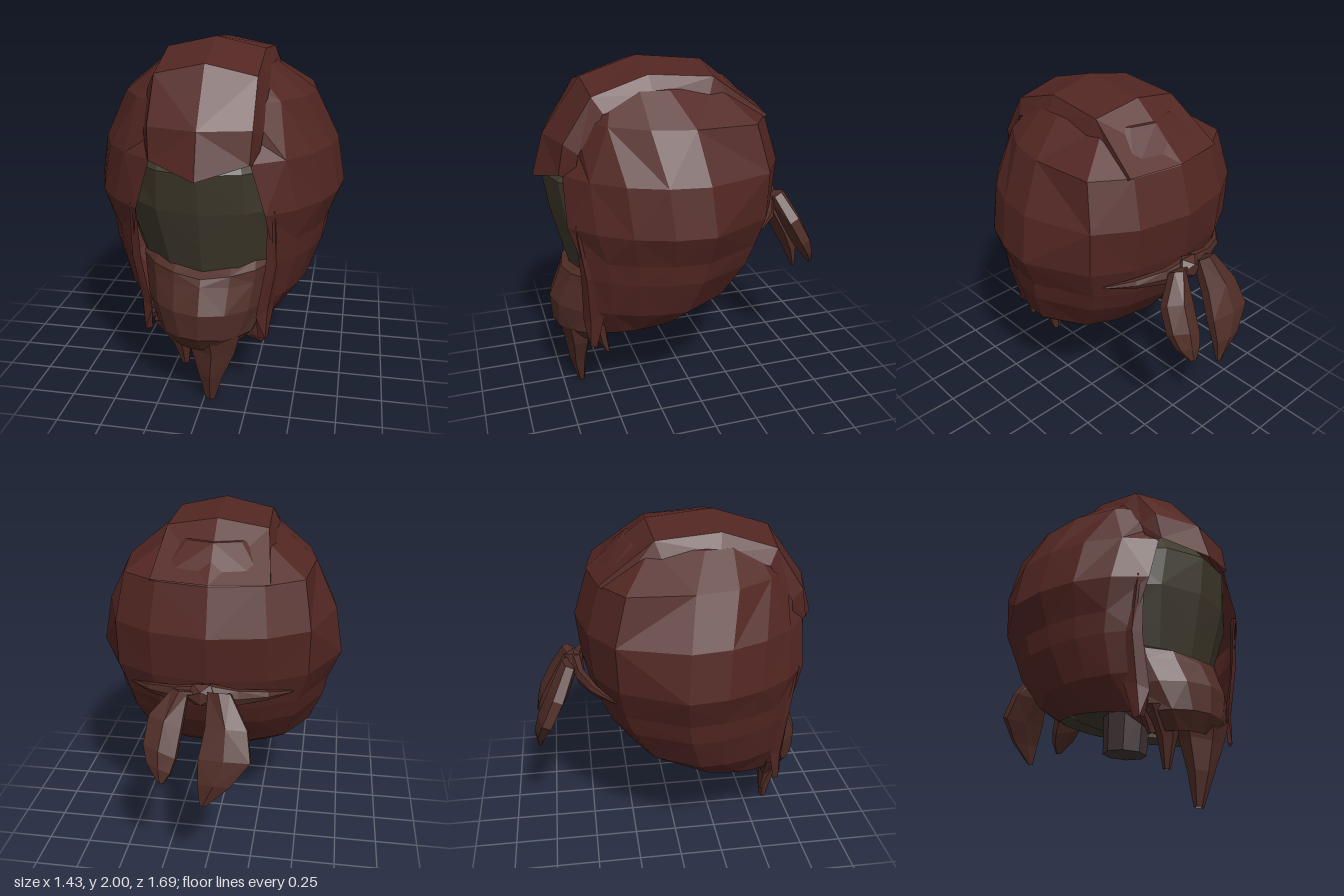
import * as THREE from 'three';

const V = (x, y, z) => new THREE.Vector3(x, y, z);
const cloth = (color) => new THREE.MeshStandardMaterial({ color, flatShading: true, side: THREE.DoubleSide });

// Skin a list of equally long point rows
function loft(rows) {
  const n = rows[0].length, index = [];
  for (let r = 0; r < rows.length - 1; r++) {
    for (let c = 0; c < n - 1; c++) {
      const a = r * n + c, b = a + n;
      // alternate the diagonals for a faceted surface
      if ((r + c) % 2) index.push(a, b, a + 1, a + 1, b, b + 1);
      else index.push(a, b, b + 1, a, b + 1, a + 1);
    }
  }
  const g = new THREE.BufferGeometry().setFromPoints(rows.flat());
  g.setIndex(index);
  g.computeVertexNormals();
  return g;
}

// Horizontal section: half width w at depth zw, front zf, back zb; xe is the half
// width of a gap at the front, yB the height at the back, full widens the back corners
function section([y, w, zw, zf, zb, xe = 0, yB = y, full = 1]) {
  const a0 = w > 0 ? Math.asin(xe / w) : 0, half = [];
  for (let i = 0; i < 4; i++) half.push(a0 + (Math.PI / 2 - a0) * i / 4);
  half.push(Math.PI / 2, Math.PI * 0.73, Math.PI * 0.855);
  const angles = [...half, Math.PI, ...half.slice().reverse().map((a) => Math.PI * 2 - a)];
  return angles.map((a) => V(
    w * Math.sin(a) * (Math.cos(a) < -0.1 ? full : 1),
    THREE.MathUtils.lerp(y, yB, (1 - Math.cos(a)) / 2),
    zw + Math.cos(a) * (Math.cos(a) > 0 ? zf - zw : zw - zb)));
}

// Flattened tapering cloth along points [x, y, z, half width, half thickness]
function ribbon(points, normal) {
  const P = points.map((p) => V(p[0], p[1], p[2]));
  const d = P[P.length - 1].clone().sub(P[0]).normalize();
  const W = normal.clone().cross(d).normalize(), N = d.clone().cross(W);
  return loft(points.map((p, i) => Array.from({ length: 7 }, (_, k) => {
    const a = k / 6 * Math.PI * 2;
    return P[i].clone().addScaledVector(W, p[3] * Math.sin(a)).addScaledVector(N, p[4] * Math.cos(a));
  })));
}

export function createModel() {
  const model = new THREE.Group();
  const red = cloth(0x522622), brown = cloth(0x4f2c26), skin = cloth(0x3f392c), dark = cloth(0x423435);
  const add = (name, geometry, material) => {
    const m = new THREE.Mesh(geometry, material);
    m.name = name;
    model.add(m);
    return m;
  };

  // Hood shell, open around the face and below
  add('hood', loft([
    [1.93, 0, 0.18, 0.18, 0.18],
    [1.86, 0.33, 0.14, 0.55, -0.28],
    [1.71, 0.54, 0.06, 0.67, -0.475, 0, 1.68, 1.22],
    [1.43, 0.67, 0.02, 0.78, -0.555, 0.26, 1.42, 1.07],
    [1.16, 0.715, 0, 0.82, -0.525, 0.34],
    [0.98, 0.64, 0.02, 0.81, -0.48, 0.37],
    [0.86, 0.62, 0.04, 0.8, -0.425, 0.38],
    [0.64, 0.54, 0.1, 0.78, -0.27, 0.35, 0.66],
    [0.43, 0.41, 0.17, 0.72, -0.22, 0.31, 0.62],
  ].map(section)), red);

  // Dark lining turned up inside the lower hem
  add('hoodLining', loft([
    [0.43, 0.41, 0.17, 0.72, -0.22, 0.31, 0.62],
    [0.5, 0.37, 0.15, 0.64, -0.14, 0.28, 0.64],
    [0.75, 0.45, 0.12, 0.62, -0.2, 0.3, 0.78],
  ].map(section)), skin);

  // Raised centre panel from brow to back: centre z, y, edge z, y, half width, skirt spread
  const crest = [
    [-0.48, 1.69, -0.425, 1.69, 0.32, 0],
    [-0.14, 1.96, -0.12, 1.91, 0.28, 0.04],
    [0.24, 2.0, 0.24, 1.94, 0.27, 0.055],
    [0.56, 1.9, 0.55, 1.84, 0.27, 0.05],
    [0.78, 1.6, 0.71, 1.6, 0.27, 0.04],
    [0.85, 1.36, 0.74, 1.43, 0.26, 0.03],
  ];
  add('hoodCrest', loft(crest.map(([zc, yc, ze, ye, e, spread]) => {
    const skirt = V(e, ye, ze).lerp(V(e, 1.2, 0.15), 0.13);
    return [V(-e - spread, skirt.y, skirt.z), V(-e, ye, ze), V(0, yc, zc),
      V(e, ye, ze), V(e + spread, skirt.y, skirt.z)];
  })), red);

  // Head with flat sloping face
  add('head', loft([
    [1.7, 0, 0.1, 0.1, 0.1],
    [1.6, 0.42, 0.05, 0.64, -0.3],
    [1.38, 0.58, 0.02, 0.8, -0.42],
    [1.16, 0.62, 0, 0.765, -0.42],
    [0.95, 0.54, 0, 0.71, -0.36],
    [0.8, 0.48, 0.03, 0.67, -0.26],
    [0.62, 0.33, 0.1, 0.5, -0.12],
    [0.64, 0, 0.12, 0.12, 0.12],
  ].map(section)), skin);

  // Neck stump
  const neck = add('neck', new THREE.CylinderGeometry(0.135, 0.125, 0.22, 8), dark);
  neck.position.set(0, 0.51, 0.13);
  neck.rotation.x = 0.1;

  // Cloth over mouth and chin, with a folded rim
  const maskRows = [
    [0.84, 0.4, 0.3, 0.64], [0.8, 0.41, 0.3, 0.72], [0.74, 0.4, 0.3, 0.74],
    [0.6, 0.37, 0.35, 0.8], [0.45, 0.29, 0.5, 0.79], [0.36, 0.19, 0.57, 0.73],
  ];
  add('mask', loft(maskRows.map(([y, w, zw, zf], r) =>
    [-90, -65, -43, -22, 0, 22, 43, 65, 90].map((deg) => {
      const a = deg * Math.PI / 180;
      const rise = r < 2 ? 0.04 * (Math.abs(Math.sin(a)) - 0.5) : 0;
      return V(w * Math.sin(a), y + rise, zw + (zf - zw) * Math.cos(a));
    }))), brown);

  // Ragged points hanging from the mask
  const tips = [
    [[0.05, 0.47, 0.66, 0.19, 0.11], [0.06, 0.34, 0.655, 0.14, 0.08], [0.045, 0.18, 0.655, 0.08, 0.055], [0.035, 0.005, 0.64, 0.03, 0.022]],
    [[-0.16, 0.5, 0.62, 0.14, 0.07], [-0.13, 0.34, 0.6, 0.06, 0.04], [-0.12, 0.185, 0.58, 0.022, 0.015]],
    [[0.26, 0.52, 0.56, 0.1, 0.04], [0.27, 0.4, 0.54, 0.07, 0.03], [0.31, 0.34, 0.52, 0.02, 0.012]],
    [[-0.24, 0.52, 0.58, 0.09, 0.05], [-0.2, 0.36, 0.57, 0.03, 0.02]],
  ];
  tips.forEach((t) => add('maskTip', ribbon(t, V(0, 0, 1)), brown));

  // Loose flaps beside the face: outer x, y, z, inner x, y, z
  const flap = [
    [0.39, 1.2, 0.64, 0.35, 1.16, 0.69],
    [0.42, 0.87, 0.58, 0.34, 0.85, 0.66],
    [0.38, 0.6, 0.55, 0.29, 0.55, 0.65],
    [0.35, 0.4, 0.59, 0.3, 0.41, 0.62],
  ];
  for (const s of [-1, 1]) {
    add('faceFlap', loft(flap.map(([ax, ay, az, bx, by, bz]) => {
      const row = [V(s * bx, by, bz), V(s * (ax + bx + 0.03) / 2, (ay + by) / 2, (az + bz) / 2 + 0.02), V(s * ax, ay, az)];
      return s > 0 ? row : row.reverse();
    })), red);

    // Tapering tie that runs from the knot around the hood
    add('maskTie', ribbon([
      [s * 0.02, 1.12, -0.56, 0.05, 0.04], [s * 0.16, 1.09, -0.54, 0.05, 0.03],
      [s * 0.32, 1.08, -0.47, 0.03, 0.025], [s * 0.46, 1.06, -0.36, 0.004, 0.006],
    ], V(s * 0.3, 0, -1)), brown);
  }

  // Leaf-shaped tails falling behind, one broad and long, one narrow
  const tails = [
    [[-0.03, 1.11, -0.56, 0.04, 0.04], [-0.08, 1.14, -0.6, 0.07, 0.05], [-0.13, 0.97, -0.68, 0.13, 0.06],
      [-0.13, 0.82, -0.755, 0.16, 0.055], [-0.08, 0.69, -0.8, 0.1, 0.04], [-0.02, 0.565, -0.815, 0.02, 0.012]],
    [[0.03, 1.11, -0.56, 0.03, 0.04], [0.13, 1.13, -0.6, 0.05, 0.05], [0.2, 0.98, -0.67, 0.11, 0.06],
      [0.22, 0.84, -0.745, 0.11, 0.055], [0.22, 0.76, -0.785, 0.08, 0.035], [0.21, 0.69, -0.815, 0.02, 0.012]],
  ];
  tails.forEach((t) => add('knotTail', ribbon(t, V(0, 0.5, -0.85)), brown));

  // Knot at the back
  const knot = add('knot', new THREE.IcosahedronGeometry(0.09, 0), brown);
  knot.position.set(0.02, 1.11, -0.575);
  knot.scale.set(1, 0.8, 0.7);

  return model;
}
